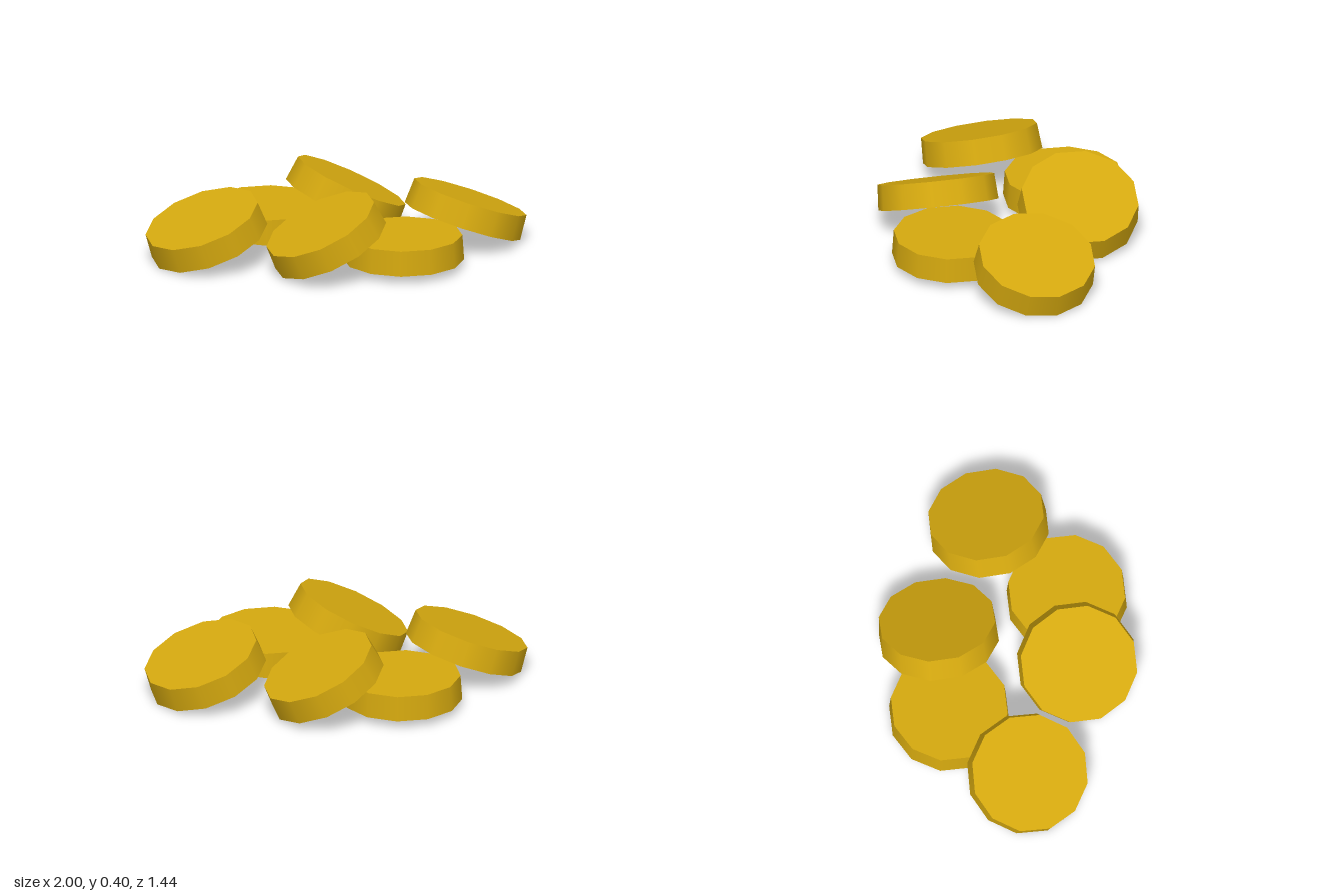
import * as THREE from 'three';

const deg = THREE.MathUtils.degToRad;

export function createModel() {
  const model = new THREE.Group();
  model.name = 'coinPile';

  const gold = new THREE.MeshStandardMaterial({ color: 0xd4a80f });
  // Twelve-sided disc, slightly narrower at the top
  const disc = new THREE.CylinderGeometry(0.308, 0.317, 0.134, 12);

  // One half of the ring: a flat coin and two leaning ones
  const coins = [
    { name: 'flatCoin', position: [-0.186, 0.112, -0.403], tilt: [0, 0] },
    { name: 'outerLeaningCoin', position: [-0.686, 0.176, -0.157], tilt: [0, 20.6] },
    { name: 'innerLeaningCoin', position: [-0.222, 0.207, 0.305], tilt: [-5, 25] },
  ];

  // The other half is the same set turned half way round
  ['left', 'right'].forEach((side, i) => {
    const half = new THREE.Group();
    half.name = `${side}Coins`;
    half.rotation.y = i * Math.PI;
    for (const { name, position, tilt } of coins) {
      const coin = new THREE.Mesh(disc, gold);
      coin.name = name;
      coin.position.set(...position);
      coin.rotation.set(deg(tilt[0]), 0, deg(tilt[1]));
      half.add(coin);
    }
    // The half centred on -x is the model's own right
    half.name = i === 0 ? 'rightCoins' : 'leftCoins';
    model.add(half);
  });

  return model;
}
